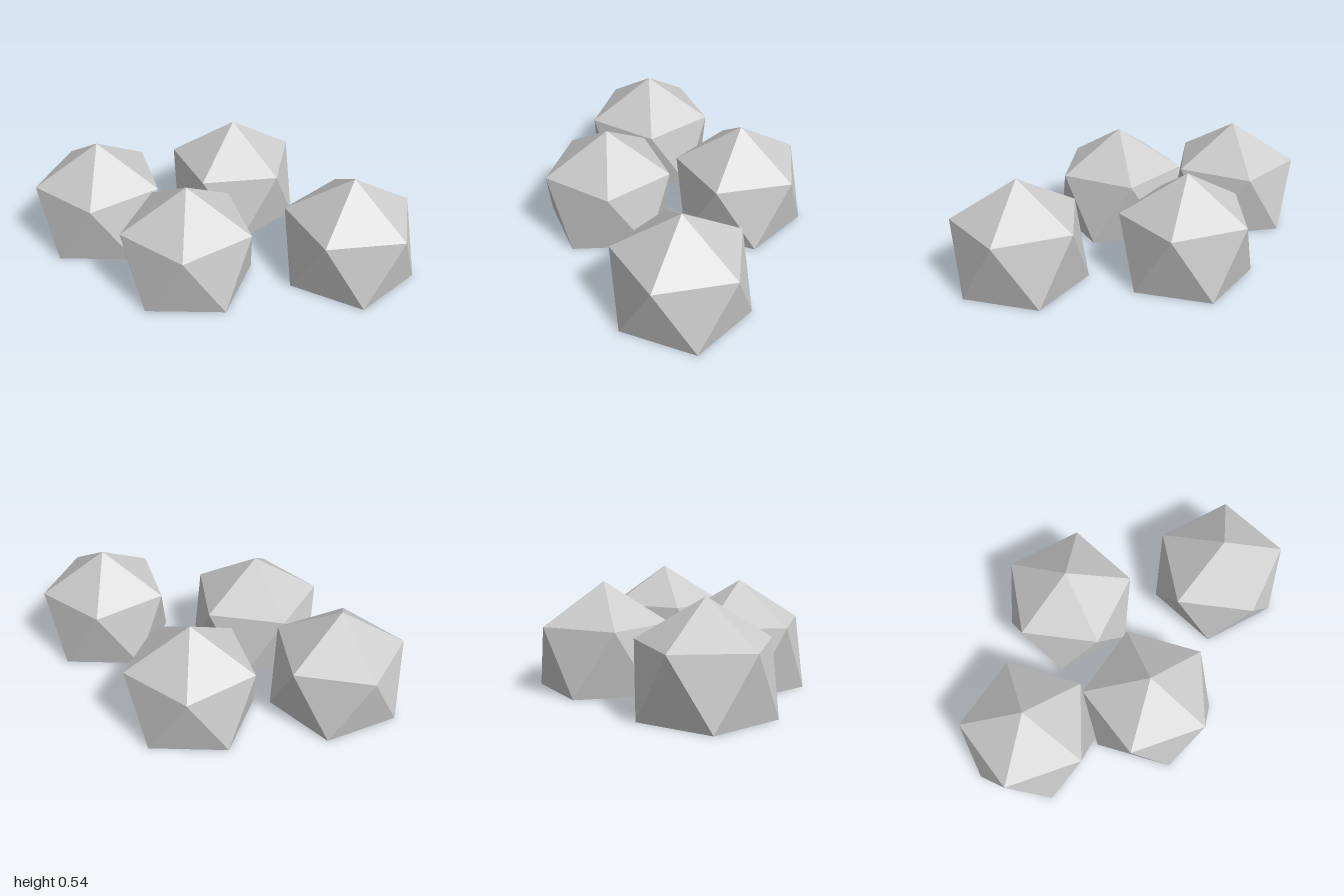
import * as THREE from 'three';

const R = 0.335;      // radius of both five-sided rings
const RING_Y = 0.335; // height of the upper ring
const TOP_Y = 0.542;  // height of the peak

// Open-bottomed dome: a regular icosahedron without its lowest five faces
function domeGeometry() {
  const ring = (y, offset) => Array.from({ length: 5 }, (_, i) => {
    const a = (i / 5) * Math.PI * 2 + offset;
    return [R * Math.cos(a), y, R * Math.sin(a)];
  });
  const upper = ring(RING_Y, 0);
  const lower = ring(0, Math.PI / 5);
  const peak = [0, TOP_Y, 0];
  const corners = [];
  for (let i = 0; i < 5; i++) {
    const j = (i + 1) % 5;
    corners.push(peak, upper[j], upper[i]);     // roof facet
    corners.push(upper[i], upper[j], lower[i]); // wall facet pointing down
    corners.push(lower[i], upper[j], lower[j]); // wall facet pointing up
  }
  const geometry = new THREE.BufferGeometry();
  geometry.setAttribute('position', new THREE.Float32BufferAttribute(corners.flat(), 3));
  geometry.computeVertexNormals();
  return geometry;
}

export function createModel() {
  const group = new THREE.Group();
  group.name = 'domeCluster';
  const geometry = domeGeometry();
  const material = new THREE.MeshStandardMaterial({
    color: 0xcccccc, flatShading: true, side: THREE.DoubleSide,
  });

  // Four equal domes: name, x, z, turn in degrees
  const domes = [
    ['rightDome', -0.668, 0.115, 0],
    ['frontDome', -0.078, 0.352, 0],
    ['backDome', -0.078, -0.342, -27],
    ['leftDome', 0.668, 0.013, -27],
  ];
  for (const [name, x, z, turn] of domes) {
    const dome = new THREE.Mesh(geometry, material);
    dome.name = name;
    dome.position.set(x, 0, z);
    dome.rotation.y = THREE.MathUtils.degToRad(turn);
    group.add(dome);
  }
  return group;
}
